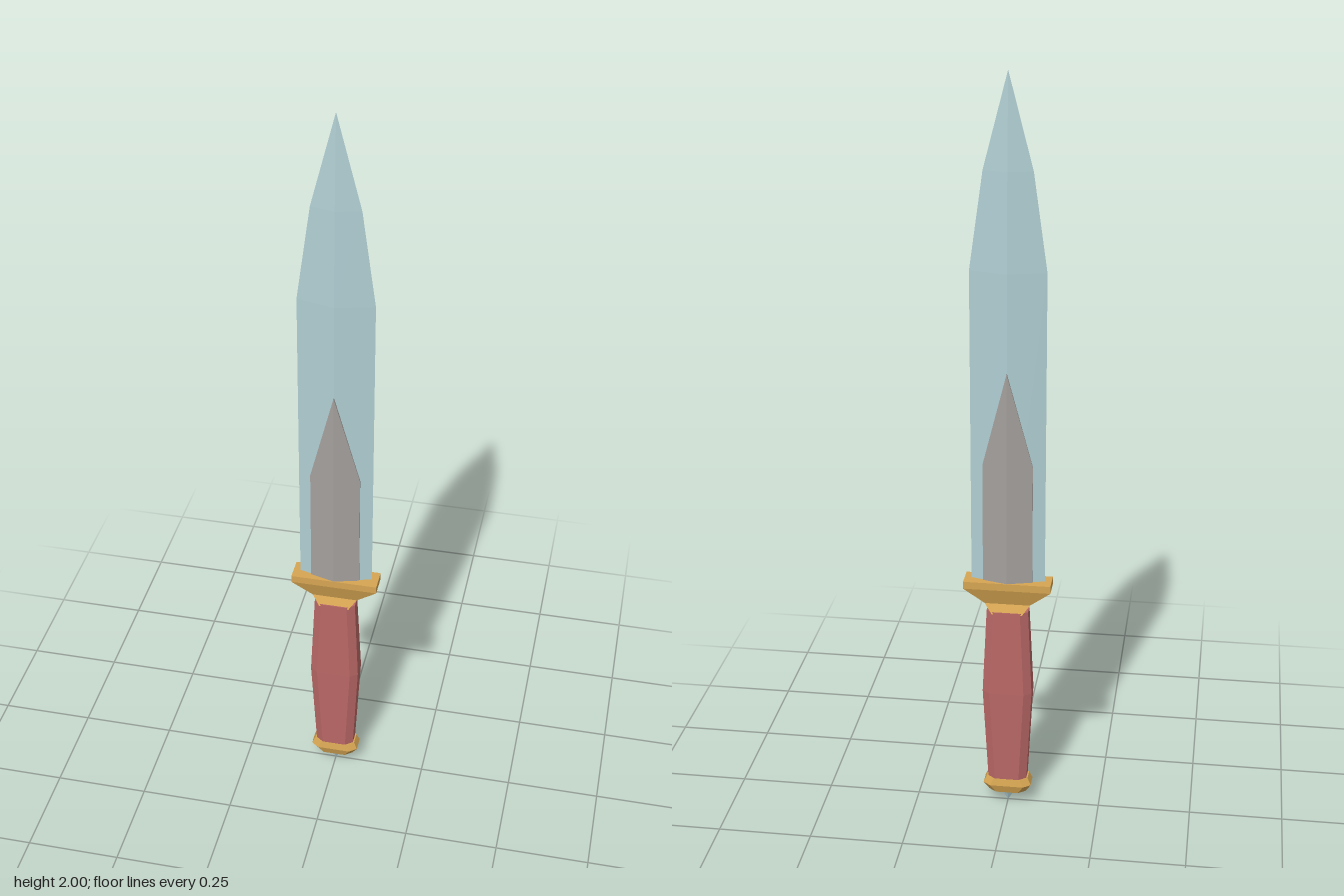
import * as THREE from 'three';

const mat = (name, color) => Object.assign(new THREE.MeshStandardMaterial({ color }), { name });

// Cross-section outlines, listed from +x towards +z
const diamond = (w, d) => [[w, 0], [0, d], [-w, 0], [0, -d]];
const rect = (w, d) => [[w, -d], [w, d], [-w, d], [-w, -d]];
const octagon = (w, d) => {
  const x = w - 0.02, z = d - 0.015;
  return [[w, -z], [w, z], [x, d], [-x, d], [-w, z], [-w, -z], [-x, -d], [x, -d]];
};
// Ridged plate wrapped over both blade faces
const ridged = (w, d) => {
  const e = d - 0.018 * w / 0.065;
  return [[w, -e], [w, e], [0, d], [-w, e], [-w, -e], [0, -d]];
};

// Faceted solid through sections [y, halfWidth, halfDepth], from bottom to top
function loft(name, material, outline, sections) {
  const rings = sections.map(([y, w, d]) =>
    outline(w, d).map(([x, z]) => new THREE.Vector3(x, y, z)));
  const n = rings[0].length, pos = [], t = new THREE.Triangle();
  const tri = (a, b, c) => {
    if (t.set(a, b, c).getArea() > 1e-9) for (const p of [a, b, c]) pos.push(p.x, p.y, p.z);
  };
  for (let r = 0; r < rings.length - 1; r++) {
    for (let i = 0; i < n; i++) {
      const j = (i + 1) % n, lo = rings[r], hi = rings[r + 1];
      tri(lo[i], hi[i], lo[j]);
      tri(lo[j], hi[i], hi[j]);
    }
  }
  // End caps
  const bottom = rings[0], top = rings[rings.length - 1];
  for (let i = 1; i < n - 1; i++) {
    tri(bottom[0], bottom[i], bottom[i + 1]);
    tri(top[0], top[i + 1], top[i]);
  }
  const geo = new THREE.BufferGeometry();
  geo.setAttribute('position', new THREE.Float32BufferAttribute(pos, 3));
  geo.computeVertexNormals();
  const mesh = new THREE.Mesh(geo, material);
  mesh.name = name;
  return mesh;
}

export function createModel() {
  const steel = mat('paleSteel', 0xb0ced3);
  const grey = mat('warmGrey', 0xa5a09e);
  const gold = mat('gold', 0xd6a552);
  const red = mat('gripRed', 0xb96866);

  const model = new THREE.Group();
  model.name = 'dagger';
  model.add(
    // Blade with its raised centre plate
    loft('blade', steel, diamond,
      [[0.66, 0.097, 0.026], [1.51, 0.097, 0.024], [1.76, 0.062, 0.015], [2, 0, 0]]),
    loft('bladePlate', grey, ridged,
      [[0.66, 0.065, 0.03], [1.0, 0.065, 0.03], [1.255, 0, 0.03]]),
    // Flared guard, pinched at the waist
    loft('guard', gold, rect,
      [[0.585, 0.04, 0.031], [0.61, 0.06, 0.017], [0.655, 0.115, 0.031], [0.675, 0.115, 0.031]]),
    // Grip, swollen in the middle
    loft('grip', red, octagon,
      [[0.075, 0.052, 0.031], [0.35, 0.066, 0.037], [0.59, 0.055, 0.031]]),
    // Pommel and its pointed stud
    loft('pommel', gold, octagon,
      [[0.038, 0.05, 0.028], [0.062, 0.065, 0.036], [0.082, 0.056, 0.032]]),
    loft('pommelStud', steel, diamond, [[0, 0, 0], [0.04, 0.025, 0.016]]),
  );
  return model;
}
